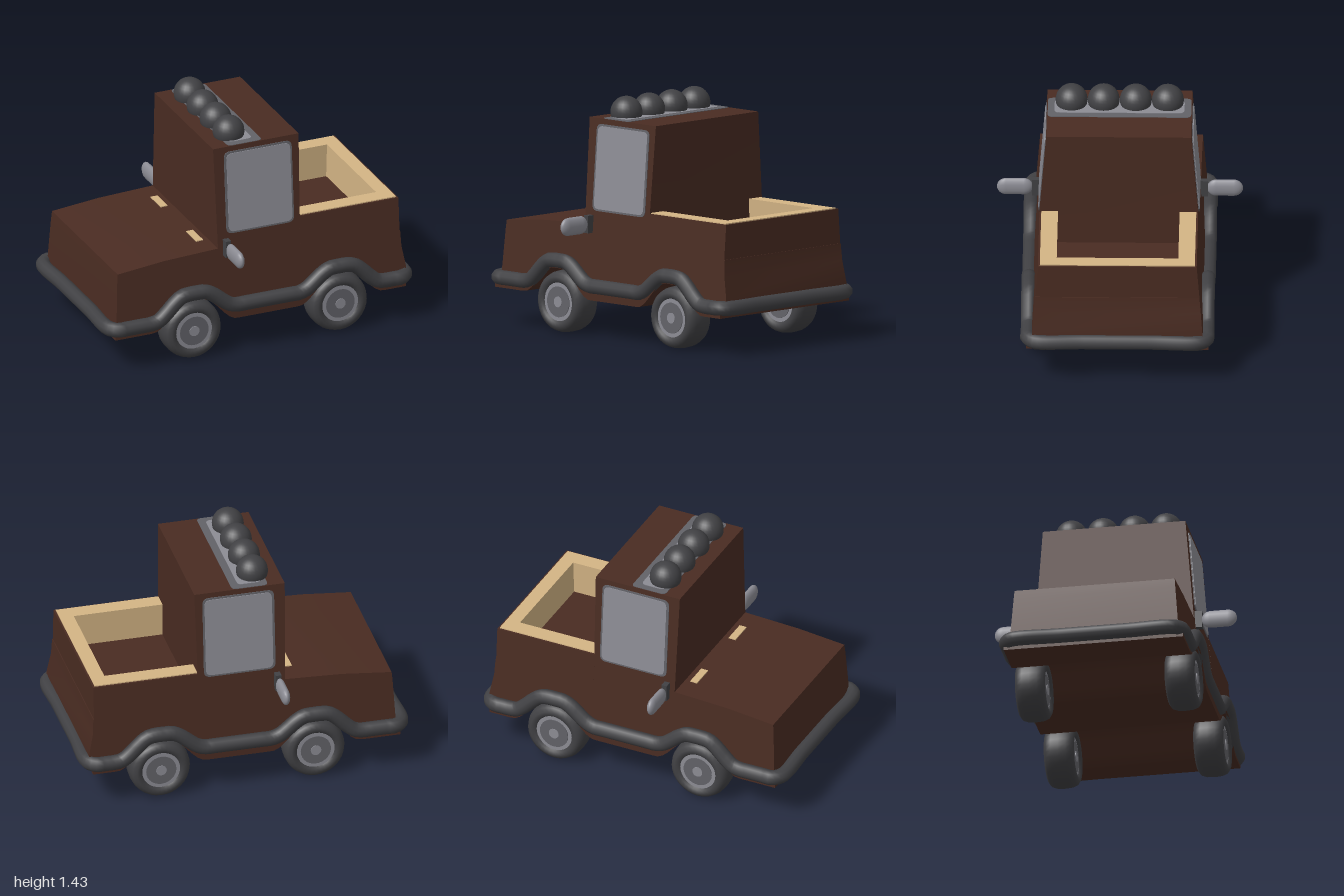
import * as THREE from 'three';
import { toCreasedNormals } from 'three/addons/utils/BufferGeometryUtils.js';

const paint = (name, color) => Object.assign(new THREE.MeshStandardMaterial({ color }), { name });

// Half width of the body, narrowing towards the roof
const halfWidth = (y) => 0.531 - 0.0785 * y;
const AXLES = [-0.425, 0.52];

// 1 over an axle, falling smoothly to 0 beside the wheel
const arch = (x) => Math.max(...AXLES.map((c) => 1 - THREE.MathUtils.smoothstep(Math.abs(x - c), 0.05, 0.27)));
const sill = (x) => 0.225 + 0.165 * arch(x);

function reshape(geometry, rule) {
  const p = geometry.attributes.position;
  const v = new THREE.Vector3();
  for (let i = 0; i < p.count; i++) {
    rule(v.fromBufferAttribute(p, i));
    p.setXYZ(i, v.x, v.y, v.z);
  }
  return toCreasedNormals(geometry, 0.5);
}

const shapeOf = (points) => new THREE.Shape(points.map(([x, y]) => new THREE.Vector2(x, y)));
const extrude = (shape, depth) => new THREE.ExtrudeGeometry(shape, { depth, bevelEnabled: false, curveSegments: 6 });

// Points along the sill from x0 to x1, raised by lift
function sillLine(x0, x1, lift, n = 56) {
  return Array.from({ length: n + 1 }, (_, i) => {
    const x = x0 + ((x1 - x0) * i) / n;
    return [x, sill(x) + lift];
  });
}

function roundedRect(x0, y0, x1, y1, r) {
  const s = new THREE.Shape();
  s.moveTo(x0 + r, y0);
  s.lineTo(x1 - r, y0);
  s.quadraticCurveTo(x1, y0, x1, y0 + r);
  s.lineTo(x1, y1 - r);
  s.quadraticCurveTo(x1, y1, x1 - r, y1);
  s.lineTo(x0 + r, y1);
  s.quadraticCurveTo(x0, y1, x0, y1 - r);
  s.lineTo(x0, y0 + r);
  s.quadraticCurveTo(x0, y0, x0 + r, y0);
  return s;
}

// U-shaped wall round the cargo bed, open towards the cab
function bedWall(outX, outZ, inX, inZ, y0, y1) {
  const g = extrude(shapeOf([
    [0.28, -outZ], [outX, -outZ], [outX, outZ], [0.28, outZ],
    [0.28, inZ], [inX, inZ], [inX, -inZ], [0.28, -inZ],
  ]), y1 - y0);
  g.rotateX(-Math.PI / 2).translate(0, y0, 0);
  return reshape(g, (v) => { v.z *= halfWidth(v.y) / halfWidth(0.78); });
}

export function createModel() {
  const brown = paint('brown paint', 0x4a2c22);
  const tan = paint('tan bed liner', 0xd4b585);
  const dark = paint('dark rubber', 0x414144);
  const mid = paint('mid grey metal', 0x626268);
  const light = paint('light grey', 0x8c8c94);

  const model = new THREE.Group();
  model.name = 'pickupTruck';
  const add = (name, geometry, material, parent = model) => {
    const m = new THREE.Mesh(geometry, material);
    m.name = name;
    parent.add(m);
    return m;
  };

  // Hood, cab and bed floor: one side profile, tapered in width
  const bodyShape = shapeOf([
    ...sillLine(-0.92, 0.95, 0.02),
    [0.955, 0.34], [0.93, 0.47], [0.925, 0.57], [0.28, 0.57], [0.283, 0.78], [0.293, 1.3],
    [-0.26, 1.3], [-0.25, 0.67], [-0.6, 0.655], [-0.9, 0.625], [-0.905, 0.57], [-0.917, 0.34],
  ]);
  add('body', reshape(extrude(bodyShape, 2).translate(0, 0, -1), (v) => { v.z *= halfWidth(v.y); }), brown);

  // Floor pan with wheel tunnels
  const panShape = shapeOf([...sillLine(-0.94, 0.94, 0), ...sillLine(0.94, -0.94, 0.06)]);
  add('floorPan', reshape(extrude(panShape, 1.08).translate(0, 0, -0.54), () => {}), brown);

  // Cargo bed
  add('bedOuterWall', bedWall(0.921, 0.47, 0.907, 0.456, 0.57, 0.778), brown);
  add('bedLiner', bedWall(0.91, 0.459, 0.825, 0.36, 0.571, 0.784), tan);

  // Bumper rail running all the way round and over the wheels
  const railY = (x) => 0.284 + 0.15 * arch(x) + (Math.abs(x) < 0.45 ? 0.025 * (1 - arch(x)) : 0);
  const rail = [];
  const N = 36;
  for (const s of [1, -1]) {
    for (let i = 0; i <= N; i++) {
      const x = s * (-0.91 + (1.82 * i) / N);
      rail.push(new THREE.Vector3(x, railY(x), s * 0.53));
    }
    for (const z of [0.485, 0.2, -0.2, -0.485]) rail.push(new THREE.Vector3(s * 0.955, 0.284, s * z));
  }
  add('bumperRail', new THREE.TubeGeometry(new THREE.CatmullRomCurve3(rail, true), 240, 0.045, 10, true), dark);

  // Wheels
  const tireProfile = [
    [0.112, -0.07], [0.125, -0.088], [0.15, -0.09], [0.172, -0.075], [0.183, -0.045], [0.186, 0],
    [0.183, 0.045], [0.172, 0.075], [0.15, 0.09], [0.125, 0.088], [0.112, 0.07],
  ].map(([r, h]) => new THREE.Vector2(r, h));
  const tire = new THREE.LatheGeometry(tireProfile, 32).rotateX(Math.PI / 2);
  const disc = (r, h) => new THREE.CylinderGeometry(r, r, h, 28).rotateX(Math.PI / 2);
  const rim = disc(0.116, 0.15);
  const hub = disc(0.092, 0.158);
  const cap = disc(0.032, 0.166);
  for (const x of AXLES) {
    for (const s of [1, -1]) {
      const wheel = new THREE.Group();
      wheel.name = (x < 0 ? 'front' : 'rear') + 'Wheel';
      wheel.position.set(x, 0.186, s * 0.45);
      add('tire', tire, dark, wheel);
      add('rim', rim, light, wheel);
      add('hub', hub, mid, wheel);
      add('hubCap', cap, light, wheel);
      model.add(wheel);
    }
  }

  // Side windows and mirrors
  for (const s of [1, -1]) {
    const plate = (shape, out) => reshape(extrude(shape, 0.008), (v) => {
      v.z += s * (halfWidth(v.y) + out) - 0.004;
    });
    add('windowFrame', plate(roundedRect(-0.193, 0.752, 0.245, 1.268, 0.04), 0), mid);
    add('sideWindow', plate(roundedRect(-0.178, 0.764, 0.233, 1.256, 0.035), 0.004), light);

    const mirror = new THREE.Group();
    mirror.name = 'sideMirror';
    mirror.position.set(-0.2, 0.672, 0);
    add('mirrorMount', new THREE.BoxGeometry(0.035, 0.105, 0.06), dark, mirror).position.z = s * 0.49;
    const shell = new THREE.CapsuleGeometry(0.054, 0.105, 6, 16).rotateX(Math.PI / 2).scale(0.5, 1, 1);
    add('mirrorShell', shell, light, mirror).position.z = s * 0.622;
    model.add(mirror);

    // Bare patch at the back of the hood
    add('hoodPatch', new THREE.BoxGeometry(0.045, 0.008, 0.15), tan).position.set(-0.305, 0.669, s * 0.26);
  }

  // Roof light bar
  const flat = (shape, y) => extrude(shape, 0.006).rotateX(-Math.PI / 2).translate(0, y, 0);
  add('lightBarBase', flat(roundedRect(-0.16, -0.425, 0.06, 0.425, 0.03), 1.297), mid);
  add('lightBarStrip', flat(roundedRect(-0.13, -0.385, 0.015, 0.385, 0.03), 1.3), light);
  const lamp = new THREE.SphereGeometry(0.095, 24, 16);
  for (let i = 0; i < 4; i++) {
    add('roofLamp', lamp, dark).position.set(-0.097, 1.332, -0.285 + i * 0.19);
  }
  return model;
}
